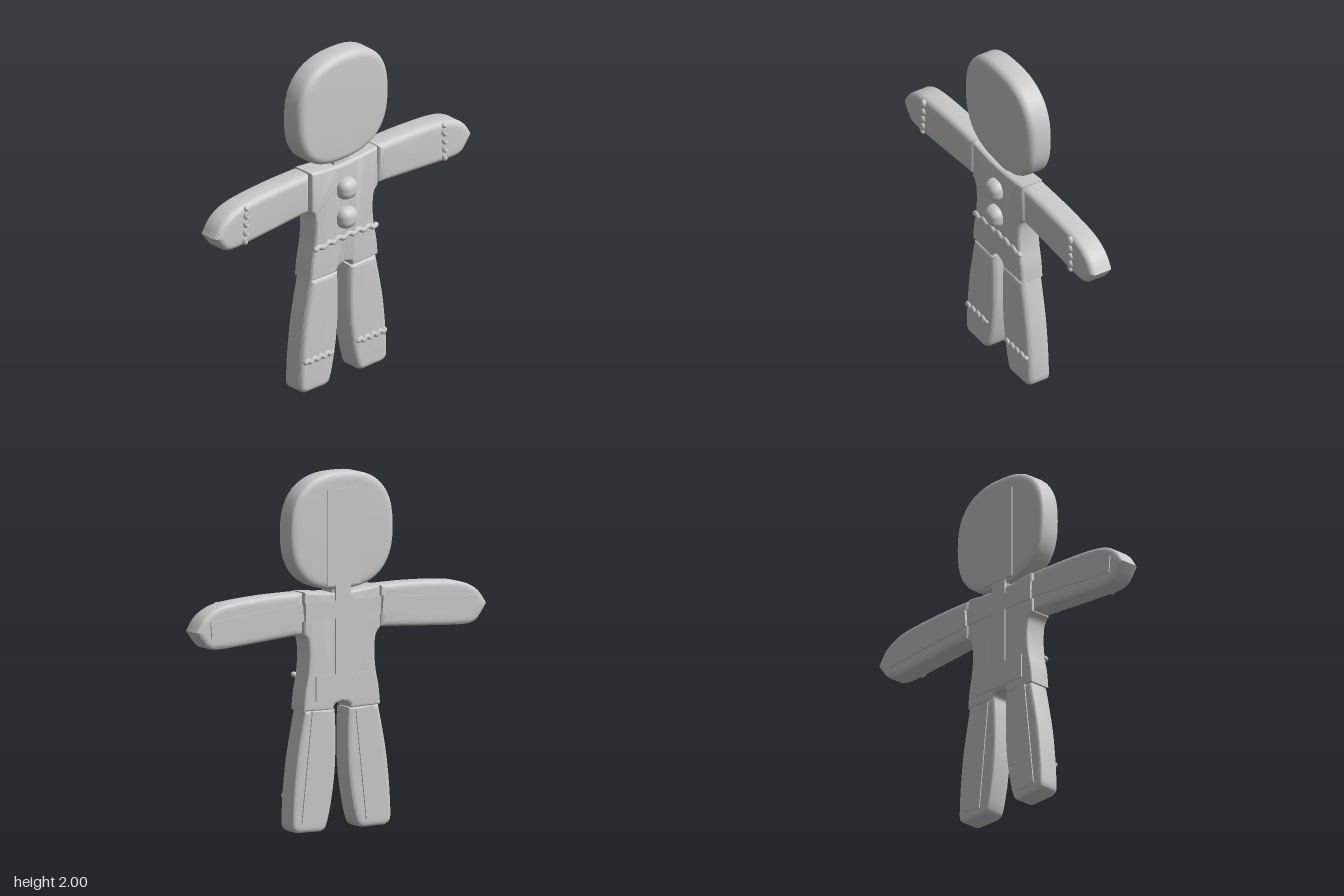
import * as THREE from 'three';
import { mergeVertices, toCreasedNormals } from 'three/addons/utils/BufferGeometryUtils.js';
import { RoundedBoxGeometry } from 'three/addons/geometries/RoundedBoxGeometry.js';

const BACK = -0.098, FRONT = 0.043;
const mat = new THREE.MeshStandardMaterial({ color: 0xcccccc });

function addMesh(parent, name, geo) {
  const m = new THREE.Mesh(geo, mat);
  m.name = name;
  parent.add(m);
  return m;
}

// Closed outline from chained runs of points; each run is a smooth curve, joints are corners
function outline(runs, side = 1) {
  const shape = new THREE.Shape();
  shape.moveTo(runs[0][0][0] * side, runs[0][0][1]);
  for (const run of runs) {
    const pts = run.slice(1).map(([x, y]) => new THREE.Vector2(x * side, y));
    if (pts.length > 1) shape.splineThru(pts);
    else shape.lineTo(pts[0].x, pts[0].y);
  }
  return shape;
}

// Cookie slab: a thick outline, softly rounded at the front and less deeply at the back
function cookie(shape, round, back = BACK, front = FRONT) {
  const depth = front - back - 1.5 * round;
  const geo = new THREE.ExtrudeGeometry(shape, {
    depth, curveSegments: 4, bevelEnabled: true, bevelSegments: 5,
    bevelThickness: round, bevelSize: round, bevelOffset: -round,
  });
  const p = geo.attributes.position;
  for (let i = 0; i < p.count; i++) {
    const z = p.getZ(i);
    p.setZ(i, (z < 0 ? z * 0.5 : z) + back + 0.5 * round);
  }
  geo.deleteAttribute('normal');
  geo.deleteAttribute('uv');
  return toCreasedNormals(mergeVertices(geo, 1e-5), 0.75);
}

// Wavy icing line between two points, with rounded ends
function icing(parent, name, a, b, waves, radius, sag = 0) {
  const A = new THREE.Vector2(...a), B = new THREE.Vector2(...b);
  const dir = B.clone().sub(A).normalize();
  const pts = [];
  const n = waves * 6;
  for (let i = 0; i <= n; i++) {
    const t = i / n;
    const off = 0.008 * Math.sin(t * waves * Math.PI * 2) + sag * (1 - (2 * t - 1) ** 2);
    const p = A.clone().lerp(B, t);
    pts.push(new THREE.Vector3(p.x - dir.y * off, p.y + dir.x * off, 0.042));
  }
  const g = new THREE.Group();
  g.name = name;
  parent.add(g);
  addMesh(g, 'icingLine', new THREE.TubeGeometry(new THREE.CatmullRomCurve3(pts), n * 2, radius, 10));
  for (const p of [pts[0], pts[n]]) {
    addMesh(g, 'icingEnd', new THREE.SphereGeometry(radius, 12, 8)).position.copy(p);
  }
}

// Thin raised strip on the back, running from a to b
function strip(parent, name, a, b, width) {
  const dx = b[0] - a[0], dy = b[1] - a[1];
  const m = addMesh(parent, name, new THREE.BoxGeometry(Math.hypot(dx, dy), width, 0.02));
  m.position.set((a[0] + b[0]) / 2, (a[1] + b[1]) / 2, BACK + 0.003);
  m.rotation.z = Math.atan2(dy, dx);
}

export function createModel() {
  const root = new THREE.Group();
  root.name = 'gingerbreadFigure';

  // Head: rounded square outline
  const headPts = [];
  for (let i = 0; i < 48; i++) {
    const a = (i / 48) * Math.PI * 2, c = Math.cos(a), s = Math.sin(a);
    headPts.push(new THREE.Vector2(
      0.342 * Math.sign(c) * Math.abs(c) ** 0.8,
      1.672 + 0.328 * Math.sign(s) * Math.abs(s) ** 0.8));
  }
  addMesh(root, 'head', cookie(new THREE.Shape(headPts), 0.045, -0.105, 0.047));
  const headStrip = addMesh(root, 'headBackStrip', new THREE.BoxGeometry(0.22, 0.54, 0.02));
  headStrip.position.set(0, 1.64, -0.102);

  // Torso: half outline, mirrored for the other side
  const half = [
    [[0, 1.325], [0.1, 1.33], [0.25, 1.345]],
    [[0.25, 1.345], [0.255, 1.11]],
    [[0.255, 1.11], [0.225, 1.07], [0.217, 0.98], [0.225, 0.88], [0.245, 0.78], [0.255, 0.68]],
    [[0.255, 0.68], [0.06, 0.675]],
    [[0.06, 0.675], [0.045, 0.705], [0, 0.72]],
  ];
  const mirrored = half.slice().reverse().map((run) => run.slice().reverse().map(([x, y]) => [-x, y]));
  addMesh(root, 'torso', cookie(outline([...half, ...mirrored]), 0.018));
  addMesh(root, 'neck', new THREE.BoxGeometry(0.12, 0.08, 0.1)).position.set(0, 1.34, -0.035);

  // Strips on the back of the torso
  strip(root, 'spineStrip', [0, 0.8], [0, 1.4], 0.1);
  strip(root, 'shoulderStrip', [-0.25, 1.235], [0.25, 1.235], 0.1);
  strip(root, 'hipStrip', [-0.18, 0.8], [0.18, 0.8], 0.14);

  // Buttons
  for (const y of [1.18, 1.0]) {
    addMesh(root, 'button', new RoundedBoxGeometry(0.125, 0.125, 0.125, 5, 0.052)).position.set(0, y, 0.043);
  }
  icing(root, 'beltIcing', [-0.222, 0.87], [0.232, 0.87], 6, 0.016, 0.012);

  // Arms and legs
  for (const side of [1, -1]) {
    const label = side > 0 ? 'left' : 'right';
    const arm = outline([
      [[0.26, 1.112], [0.26, 1.342]],
      [[0.26, 1.342], [0.45, 1.342], [0.62, 1.335], [0.76, 1.322], [0.85, 1.297], [0.92, 1.25], [0.968, 1.18]],
      [[0.968, 1.18], [0.92, 1.115], [0.88, 1.083], [0.8, 1.075], [0.6, 1.087], [0.26, 1.112]],
    ], side);
    addMesh(root, label + 'Arm', cookie(arm, 0.035));
    strip(root, label + 'ArmBackStrip', [side * 0.265, 1.235], [side * 0.88, 1.185], 0.1);
    icing(root, label + 'CuffIcing', [side * 0.755, 1.1], [side * 0.748, 1.305], 4, 0.015);

    const leg = outline([
      [[0.045, 0.678], [0.245, 0.678]],
      [[0.245, 0.678], [0.272, 0.55], [0.3, 0.4], [0.32, 0.22], [0.328, 0.06], [0.318, 0.02], [0.29, 0.002]],
      [[0.29, 0.002], [0.14, 0]],
      [[0.14, 0], [0.105, 0.025], [0.075, 0.13], [0.05, 0.28], [0.04, 0.42], [0.04, 0.58], [0.045, 0.678]],
    ], side);
    addMesh(root, label + 'Leg', cookie(leg, 0.032));
    strip(root, label + 'LegBackStrip', [side * 0.145, 0.67], [side * 0.215, 0.05], 0.12);
    icing(root, label + 'AnkleIcing', [side * 0.1, 0.198], [side * 0.298, 0.198], 4, 0.015);
  }
  return root;
}
